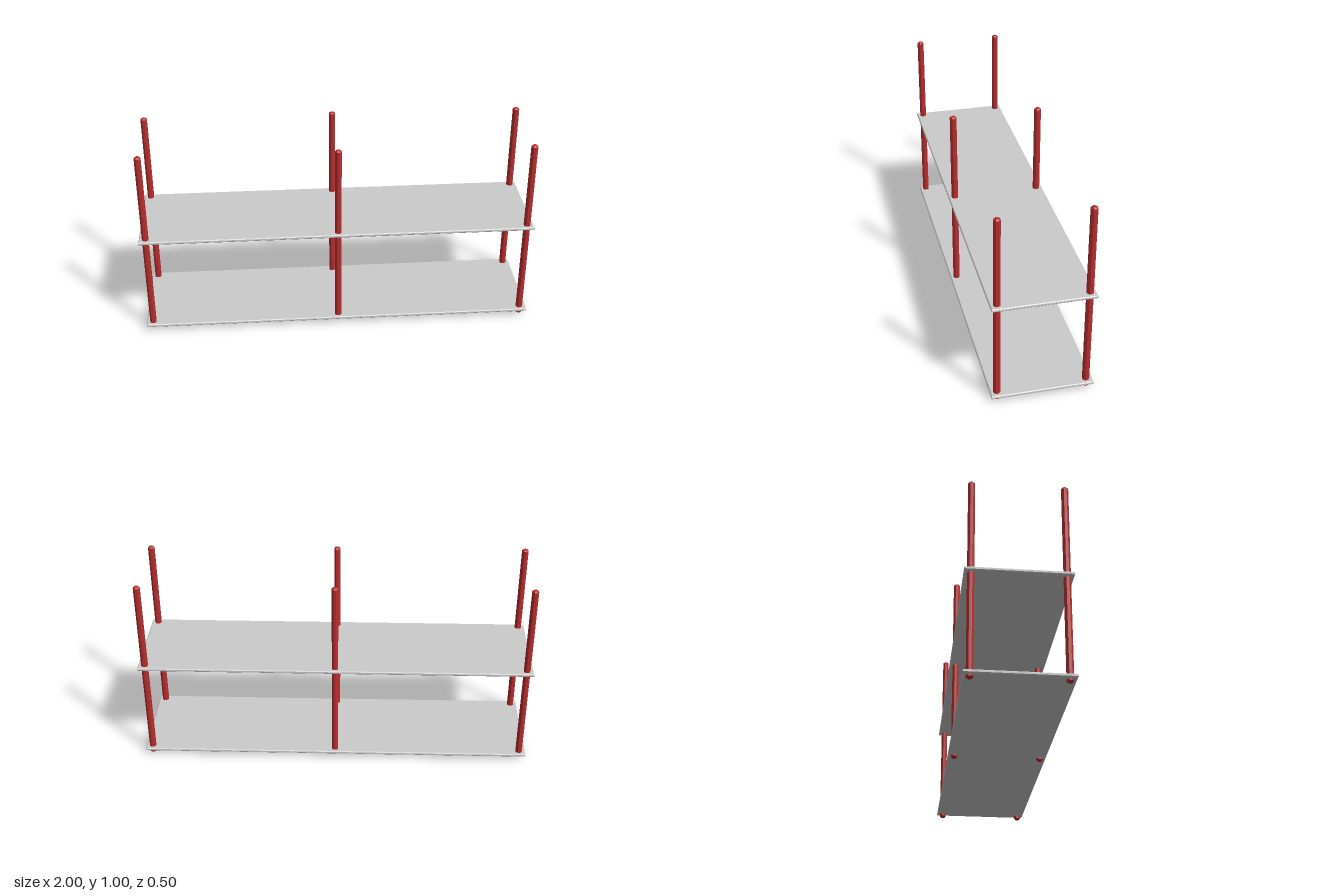
import * as THREE from 'three';

const grey = new THREE.MeshStandardMaterial({ color: 0xcccccc, flatShading: true });
const red = new THREE.MeshStandardMaterial({ color: 0xb82e2e, flatShading: true });

// Flat board with chamfered edges, centred on its own origin
function boardGeometry(width, depth, thickness, chamfer) {
  const w = width / 2 - chamfer, d = depth / 2 - chamfer;
  const shape = new THREE.Shape([
    new THREE.Vector2(-w, -d), new THREE.Vector2(w, -d),
    new THREE.Vector2(w, d), new THREE.Vector2(-w, d),
  ]);
  const geometry = new THREE.ExtrudeGeometry(shape, {
    depth: thickness - 2 * chamfer, bevelEnabled: true,
    bevelSize: chamfer, bevelThickness: chamfer, bevelSegments: 1,
  });
  return geometry.center().rotateX(-Math.PI / 2);
}

// Eight-sided post with chamfered ends, standing on its own origin
function postGeometry(height, radius, chamfer) {
  const profile = [
    [0, 0], [radius - chamfer, 0], [radius, chamfer],
    [radius, height - chamfer], [radius - chamfer, height], [0, height],
  ].map(([x, y]) => new THREE.Vector2(x, y));
  return new THREE.LatheGeometry(profile, 8).rotateY(Math.PI / 8);
}

export function createModel() {
  const model = new THREE.Group();
  model.name = 'shelfRack';

  // Two shelves
  const board = boardGeometry(2, 0.496, 0.016, 0.004);
  [['lowerShelf', 0.032], ['upperShelf', 0.533]].forEach(([name, y]) => {
    const shelf = new THREE.Mesh(board, grey);
    shelf.name = name;
    shelf.position.y = y;
    model.add(shelf);
  });

  // Three pairs of posts through both shelves; the left pair sits slightly lower
  const post = postGeometry(0.995, 0.0173, 0.007);
  const columns = [['right', -0.967, 0.01], ['middle', 0, 0.01], ['left', 0.966, 0.002]];
  for (const [side, x, y] of columns) {
    for (const [end, z] of [['Front', 0.217], ['Back', -0.217]]) {
      const mesh = new THREE.Mesh(post, red);
      mesh.name = `${side}${end}Post`;
      mesh.position.set(x, y, z);
      model.add(mesh);
    }
  }
  return model;
}
